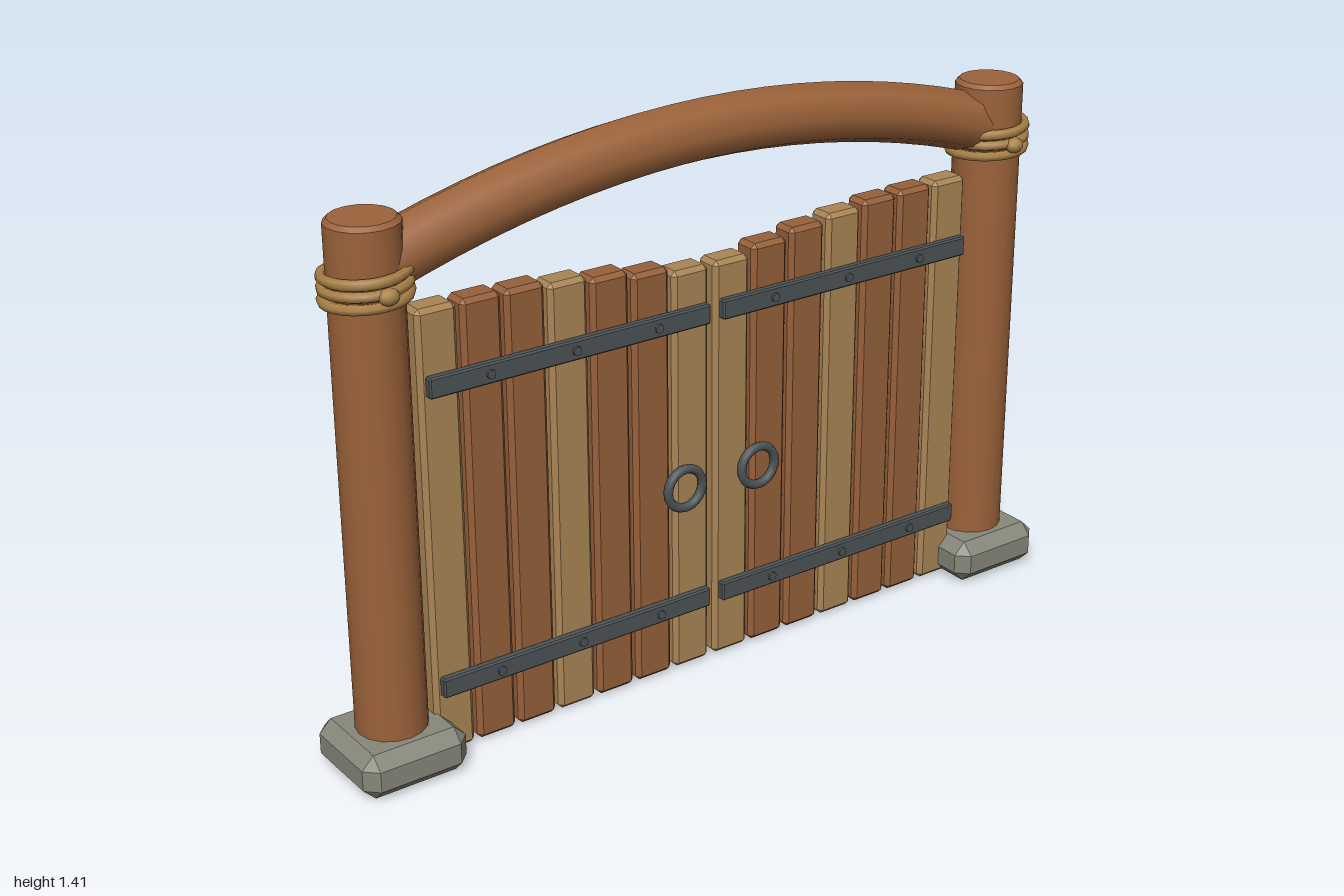
import * as THREE from 'three';
import { ConvexGeometry } from 'three/addons/geometries/ConvexGeometry.js';

const mat = (name, color) => Object.assign(new THREE.MeshStandardMaterial({ color }), { name });

// Box with all edges cut at 45 degrees
function chamferBox(w, h, d, c) {
  const pts = [];
  for (const sx of [-1, 1]) for (const sy of [-1, 1]) for (const sz of [-1, 1]) {
    const x = w / 2, y = h / 2, z = d / 2;
    pts.push(
      new THREE.Vector3(sx * x, sy * (y - c), sz * (z - c)),
      new THREE.Vector3(sx * (x - c), sy * y, sz * (z - c)),
      new THREE.Vector3(sx * (x - c), sy * (y - c), sz * z));
  }
  return new ConvexGeometry(pts);
}

// Rope winding three times around a post
class RopeCurve extends THREE.Curve {
  getPoint(t, target = new THREE.Vector3()) {
    const a = t * Math.PI * 6;
    return target.set(0.092 * Math.cos(a), 1.12 + 0.08 * t, -0.092 * Math.sin(a));
  }
}

export function createModel() {
  const log = mat('logBrown', 0x9c633a);
  const dark = mat('darkPlank', 0x96603a);
  const tan = mat('tanPlank', 0xa98555);
  const iron = mat('iron', 0x4c5356);
  const stone = mat('stone', 0x88877a);
  const ropeMat = mat('rope', 0xaa8148);

  const model = new THREE.Group();
  model.name = 'gate';
  const add = (parent, name, geo, material, x = 0, y = 0, z = 0) => {
    const m = new THREE.Mesh(geo, material);
    m.name = name;
    m.position.set(x, y, z);
    parent.add(m);
    return m;
  };

  // Posts with stone footings and rope lashings
  const postSide = new THREE.CylinderGeometry(0.083, 0.083, 1.298, 16, 1, true);
  const postBevel = new THREE.CylinderGeometry(0.073, 0.083, 0.01, 16);
  const footing = chamferBox(0.264, 0.11, 0.256, 0.03);
  const rope = new THREE.TubeGeometry(new RopeCurve(), 72, 0.0125, 6);
  const knot = new THREE.SphereGeometry(0.021, 10, 8);
  for (const s of [-1, 1]) {
    const g = new THREE.Group();
    g.name = s > 0 ? 'leftPost' : 'rightPost';
    g.position.x = s * 0.868;
    add(g, 'postLog', postSide, log, 0, 0.651);
    add(g, 'postTop', postBevel, log, 0, 1.305);
    add(g, 'footing', footing, stone, 0, 0.055);
    add(g, 'ropeLashing', rope, ropeMat);
    add(g, 'ropeKnot', knot, ropeMat, 0, 1.162, 0.099).scale.set(1.15, 0.9, 0.9);
    model.add(g);
  }

  // Arched beam, ends buried in the posts
  const arch = new THREE.QuadraticBezierCurve3(
    new THREE.Vector3(-0.85, 1.195, 0), new THREE.Vector3(0, 1.48, 0), new THREE.Vector3(0.85, 1.195, 0));
  add(model, 'archBeam', new THREE.TubeGeometry(arch, 20, 0.073, 8), log);

  // Two mirrored doors, planks counted from the middle outwards
  const tops = [1.026, 1.044, 1.06, 1.072, 1.083, 1.086, 1.087];
  const strap = chamferBox(0.742, 0.049, 0.022, 0.004);
  const bolt = new THREE.CylinderGeometry(0.011, 0.011, 0.012, 8).rotateX(Math.PI / 2);
  const ring = new THREE.TorusGeometry(0.049, 0.0115, 8, 20);
  for (const s of [-1, 1]) {
    const door = new THREE.Group();
    door.name = s > 0 ? 'leftDoor' : 'rightDoor';
    tops.forEach((top, i) => {
      const h = top - 0.005;
      add(door, 'plank', chamferBox(0.102, h, 0.07, 0.011), i % 3 ? dark : tan,
        s * (0.0585 + i * 0.1107), 0.005 + h / 2);
    });
    for (const y of [0.182, 0.913]) {
      add(door, 'strap', strap, iron, s * 0.389, y, 0.045);
      for (const dx of [-0.222, 0, 0.222]) add(door, 'bolt', bolt, iron, s * (0.388 + dx), y, 0.056);
    }
    add(door, 'pullRing', ring, iron, s * 0.107, 0.504, 0.074);
    model.add(door);
  }
  return model;
}
